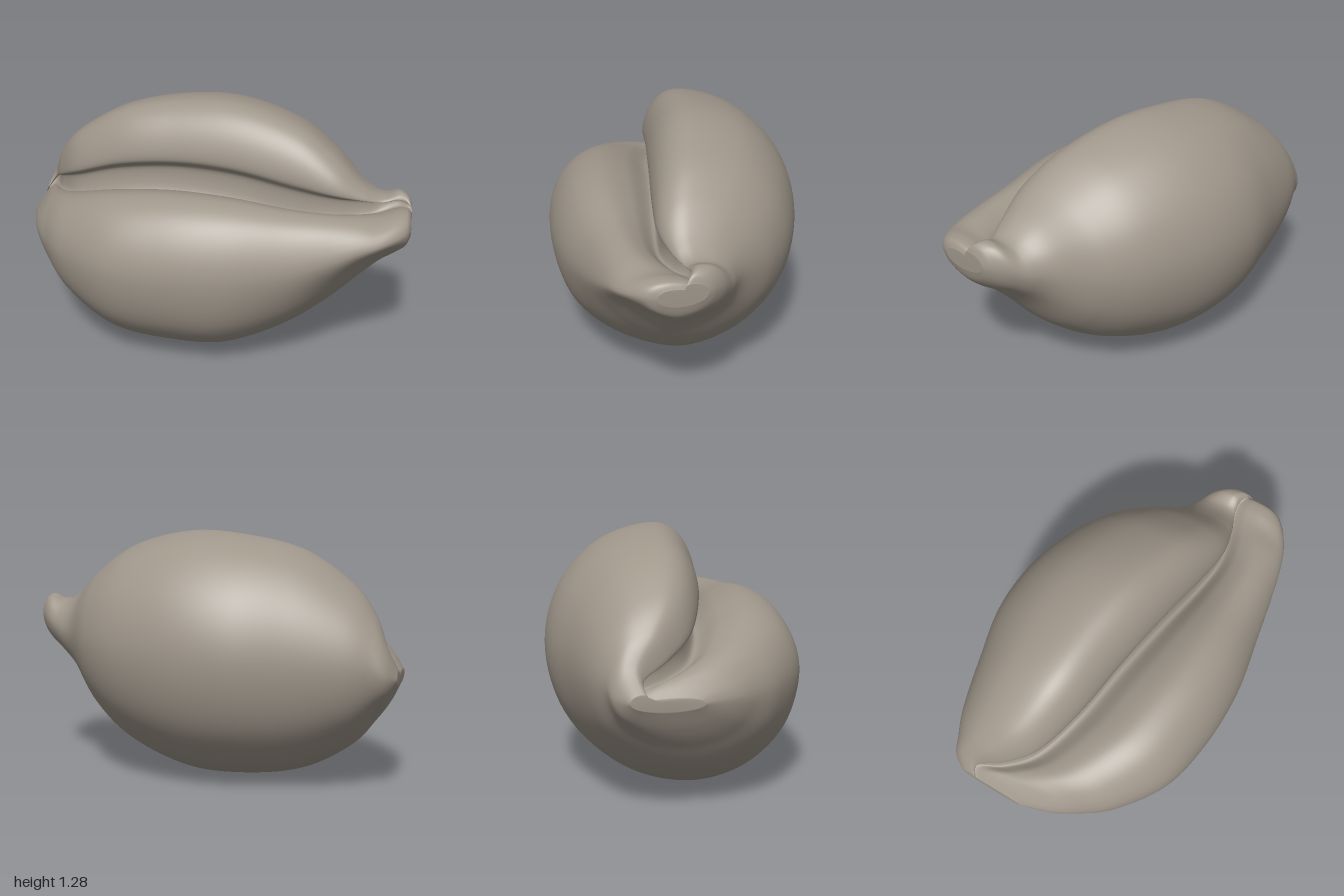
import * as THREE from 'three';

// Stations along x: x, bottom y, top y, back z, front z, front lip y, upper fold z, front bulge y, crease, groove depth
const stations = [
  [-1, .55, .63, -.36, -.02, .61, -.28, .58, 0, .005],
  [-.95, .45, .74, -.43, .13, .67, -.29, .58, 0, .03],
  [-.88, .35, .89, -.46, .25, .73, -.16, .57, 0, .06],
  [-.75, .2, 1.04, -.515, .41, .8, -.03, .57, 0, .09],
  [-.5, .055, 1.195, -.58, .575, .89, .06, .57, 0, .12],
  [-.2, .01, 1.265, -.645, .635, .935, .11, .57, 0, .13],
  [.1, .025, 1.28, -.62, .635, .935, .16, .58, 0, .13],
  [.4, .14, 1.21, -.51, .58, .9, .21, .62, .05, .12],
  [.6, .29, 1.09, -.36, .54, .885, .23, .68, .13, .1],
  [.75, .47, .95, -.16, .505, .875, .2, .74, .2, .08],
  [.85, .575, .89, -.08, .47, .865, .16, .77, .22, .05],
  [.93, .635, .915, -.02, .42, .875, .15, .79, .15, .03],
  [.98, .69, .9, .04, .37, .87, .17, .8, .05, .015],
  [1, .75, .86, .08, .32, .84, .19, .8, 0, .005],
];
const mix = THREE.MathUtils.lerp;

// Smoothly interpolated station values, t from 0 to 1
function stationAt(t) {
  const last = stations.length - 1;
  const f = t * last, i = Math.min(Math.floor(f), last - 1), u = f - i;
  const row = k => stations[THREE.MathUtils.clamp(k, 0, last)];
  return row(i).map((b, c) => {
    const a = row(i - 1)[c], d = row(i + 1)[c], e = row(i + 2)[c];
    return b + .5 * u * (d - a + u * (2 * a - 5 * b + 4 * d - e + u * (3 * (b - d) + e - a)));
  });
}

// Closed outline of one station: round belly and back, curled upper fold, groove and front lip
function outline([x, y0, y1, z0, z1, lipY, foldZ, bulgeY, crease, depth], count) {
  const bottomZ = mix(z0, z1, .53), topZ = mix(z0, foldZ, .73), lipZ = mix(foldZ, z1, .48);
  const backY = mix(y0, y1, .53), foldY = mix(lipY, y1, .22), w = lipZ - foldZ;
  const pts = [];
  const add = (z, y) => pts.push(new THREE.Vector3(x, y, z));
  // Quarter ellipse about (cz, cy), leaving out its last point
  const quarter = (cz, cy, rz, ry, from, pull = 0) => {
    for (let k = 0; k < 3; k++) {
      const a = from - k * Math.PI / 6, s = k ? 1 - pull : 1;
      add(cz + rz * Math.cos(a) * s, cy + ry * Math.sin(a) * s);
    }
  };
  quarter(bottomZ, bulgeY, z1 - bottomZ, bulgeY - y0, 0, crease);
  quarter(bottomZ, backY, bottomZ - z0, backY - y0, -Math.PI / 2);
  quarter(topZ, backY, topZ - z0, y1 - backY, -Math.PI);
  quarter(topZ, foldY, foldZ - topZ, y1 - foldY, Math.PI / 2);
  add(foldZ, foldY);
  add(foldZ - .2 * w, mix(lipY, foldY, .1));
  add(foldZ - .08 * w, lipY - depth);
  add(foldZ + .4 * w, lipY - depth * .35);
  quarter(lipZ, bulgeY, z1 - lipZ, lipY - bulgeY, Math.PI / 2);
  const curve = new THREE.CatmullRomCurve3(pts, true, 'centripetal');
  return Array.from({ length: count }, (_, j) => curve.getPoint(j / count));
}

// Skin stretched over the outlines, closed by a centre point at each tip
function foldedShell(rings, count) {
  const pos = [], index = [];
  let first, last;
  for (let i = 0; i <= rings; i++) {
    const loop = outline(stationAt(i / rings), count);
    if (i === 0) first = loop;
    last = loop;
    loop.forEach(p => pos.push(p.x, p.y, p.z));
  }
  for (let i = 0; i < rings; i++) {
    for (let j = 0; j < count; j++) {
      const k = (j + 1) % count;
      const a = i * count + j, b = i * count + k, c = a + count, d = b + count;
      index.push(a, b, c, b, d, c);
    }
  }
  [first, last].forEach((loop, end) => {
    const c = loop.reduce((s, p) => s.add(p), new THREE.Vector3()).divideScalar(count);
    const tip = pos.length / 3, base = end ? rings * count : 0;
    pos.push(c.x, c.y, c.z);
    for (let j = 0; j < count; j++) {
      const a = base + j, b = base + (j + 1) % count;
      if (end) index.push(a, b, tip); else index.push(b, a, tip);
    }
  });
  const g = new THREE.BufferGeometry();
  g.setAttribute('position', new THREE.Float32BufferAttribute(pos, 3));
  g.setIndex(index);
  g.computeVertexNormals();
  return g;
}

export function createModel() {
  const group = new THREE.Group();
  group.name = 'foldedShell';
  const shellMaterial = new THREE.MeshStandardMaterial({ color: 0xa0978b });
  shellMaterial.name = 'warm grey';
  const body = new THREE.Mesh(foldedShell(130, 132), shellMaterial);
  body.name = 'shellBody';
  group.add(body);
  return group;
}
